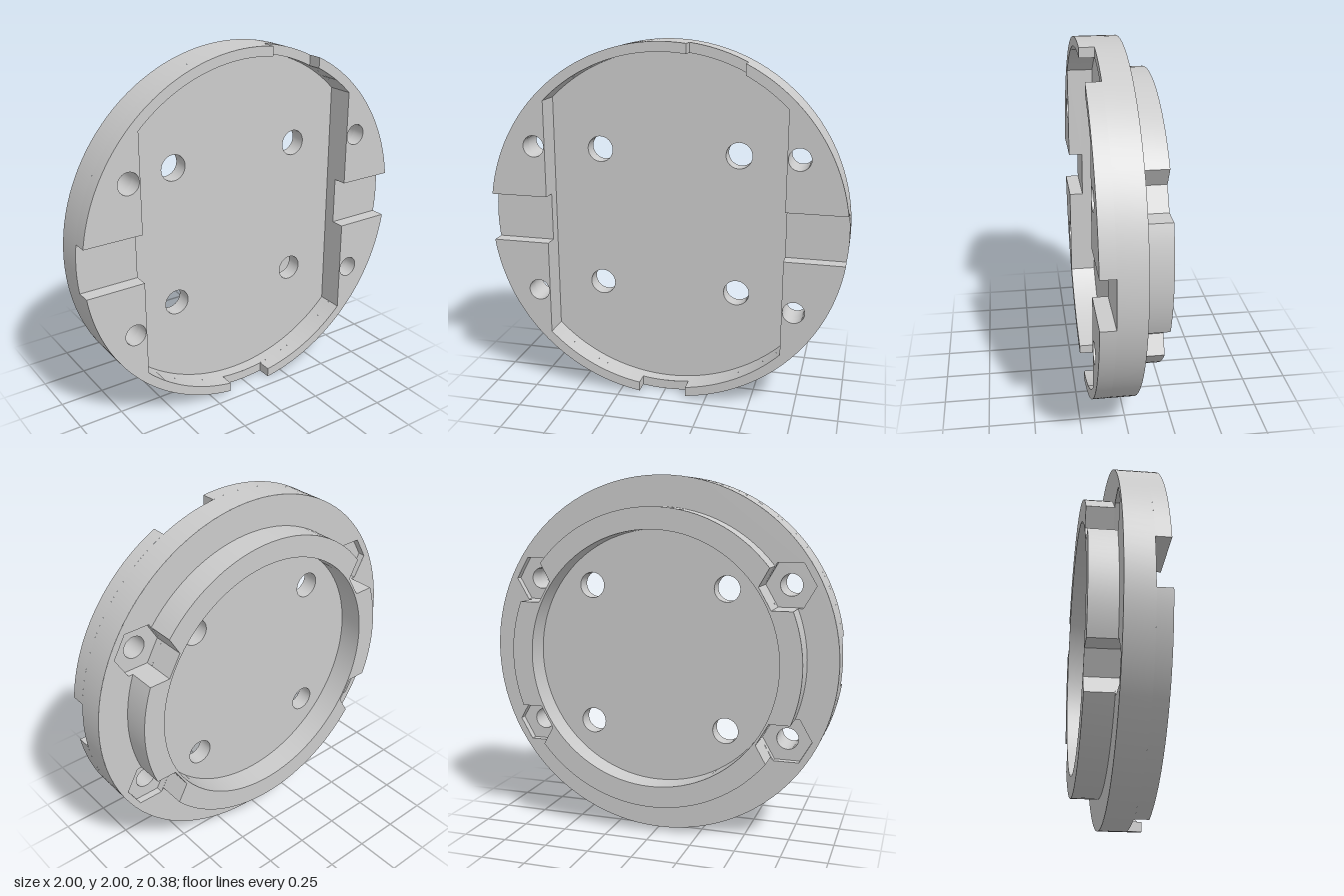
import * as THREE from 'three';
import { toCreasedNormals } from 'three/addons/utils/BufferGeometryUtils.js';

const material = new THREE.MeshStandardMaterial({ color: 0xcccccc });
const V = (x, y) => new THREE.Vector2(x, y);
const QUADRANTS = [[1, 1], [-1, 1], [-1, -1], [1, -1]];

const RIM = 1, INNER = 0.947, BOSS = 0.83, RECESS = 0.71;
const WALL = 0.665;                       // flat sides of the front cavity
const SLOT = 0.135;                       // half height of the side slots
const SCREW = { x: 0.73, y: 0.42, r: 0.06 };
// depths from back to front
const Z = { boss: -0.19, recess: -0.05, flange: -0.04, pocket: 0, cavity: 0.04, notch: 0.11, front: 0.19 };

// points along an arc about (cx, cy), both ends included
function arc(r, a, b, n = 48, cx = 0, cy = 0) {
  return Array.from({ length: n + 1 }, (_, i) => {
    const t = a + (b - a) * i / n;
    return V(cx + r * Math.cos(t), cy + r * Math.sin(t));
  });
}
const circle = (r, n = 96, cx = 0, cy = 0) => arc(r, 0, Math.PI * 2, n, cx, cy).slice(0, -1);
const mirror = (points, sx, sy) => points.map(p => V(p.x * sx, p.y * sy));

// round or hexagonal outlines repeated in the four quadrants
const fourHoles = (x, y, r, n = 32) => QUADRANTS.map(([sx, sy]) => circle(r, n, sx * x, sy * y));

function part(name, geometry) {
  const mesh = new THREE.Mesh(geometry, material);
  mesh.name = name;
  return mesh;
}

// flat face with holes; facing 1 looks forward, -1 looks back
function face(name, outline, holes, z, facing) {
  const shape = new THREE.Shape(outline);
  holes.forEach(h => shape.holes.push(new THREE.Path(h)));
  const g = new THREE.ShapeGeometry(shape);
  g.translate(0, 1, z);
  if (facing < 0) {
    g.index.array.reverse();
    g.computeVertexNormals();
  }
  return part(name, g);
}

// wall along a closed outline; side 1 looks outward, -1 looks inward
function wall(name, outline, z0, z1, side) {
  const points = THREE.ShapeUtils.area(outline) * side > 0 ? outline : [...outline].reverse();
  const pos = [];
  points.forEach((p, i) => {
    const q = points[(i + 1) % points.length];
    const a = [p.x, p.y + 1, z0], b = [q.x, q.y + 1, z0];
    const c = [q.x, q.y + 1, z1], d = [p.x, p.y + 1, z1];
    pos.push(...a, ...b, ...c, ...a, ...c, ...d);
  });
  const g = new THREE.BufferGeometry();
  g.setAttribute('position', new THREE.Float32BufferAttribute(pos, 3));
  return part(name, toCreasedNormals(g, 0.5));
}

// front cavity: a circle cut flat on both sides
function cavityOutline() {
  const a = Math.acos(WALL / INNER);
  return [...arc(INNER, a, Math.PI - a), ...arc(INNER, Math.PI + a, 2 * Math.PI - a)];
}

// boss circle following either the inner or the outer half of each nut pocket
function bossOutline(pocketCorners) {
  const quarter = [
    ...arc(BOSS, 0, Math.atan2(0.3, 0.774), 10), ...pocketCorners,
    ...arc(BOSS, Math.atan2(0.522, 0.65), Math.PI / 2, 14),
  ];
  return QUADRANTS.flatMap(([sx, sy]) => {
    const q = mirror(quarter, sx, sy);
    if (sx * sy < 0) q.reverse();
    return q.slice(0, -1);
  });
}

// raised front rim from a side slot round to a notch edge at x = end
function rimPiece(name, sx, sy, end) {
  const outline = mirror([
    ...arc(RIM, Math.asin(SLOT), Math.acos(end)),
    ...arc(INNER, Math.acos(end / INNER), Math.acos(WALL / INNER)),
    V(WALL, SLOT),
  ], sx, sy);
  const hole = circle(SCREW.r, 32, sx * SCREW.x, sy * SCREW.y);
  const group = new THREE.Group();
  group.name = name;
  group.add(face('rimFront', outline, [hole], Z.front, 1));
  group.add(wall('rimEdge', outline, Z.notch, Z.front, 1));
  return group;
}

// floor of a rim notch between two x positions
const notchOutline = (x0, x1) => [
  ...arc(RIM, Math.acos(x1), Math.acos(x0), 16),
  ...arc(INNER, Math.acos(x0 / INNER), Math.acos(x1 / INNER), 16),
];

export function createModel() {
  const model = new THREE.Group();
  model.name = 'roundMountingPlate';

  const screwHoles = fourHoles(SCREW.x, SCREW.y, SCREW.r);
  const floorHoles = fourHoles(0.392, 0.393, 0.072);
  const nutPockets = fourHoles(SCREW.x, SCREW.y, 0.139, 6);
  const boss = bossOutline([V(0.66, 0.3), V(0.591, 0.42)]);
  const bossAndPockets = bossOutline([V(0.8, 0.3), V(0.869, 0.42), V(0.8, 0.54), V(0.66, 0.54)]);

  // rear boss ring and its round recess
  model.add(face('bossBack', boss, [circle(RECESS)], Z.boss, -1));
  model.add(wall('bossSide', boss, Z.boss, Z.flange, 1));
  model.add(wall('recessWall', circle(RECESS), Z.boss, Z.recess, -1));
  model.add(face('recessFloor', circle(RECESS), floorHoles, Z.recess, -1));

  // flange with nut pockets sunk into its back
  model.add(face('flangeBack', circle(RIM), [bossAndPockets], Z.flange, -1));
  model.add(wall('flangeSide', circle(RIM, 128), Z.flange, Z.notch, 1));
  nutPockets.forEach((hex, i) => {
    model.add(wall('nutPocketWall', hex, Z.flange, Z.pocket, -1));
    model.add(face('nutPocketFloor', hex, [screwHoles[i]], Z.pocket, -1));
    model.add(wall('screwHole', screwHoles[i], Z.pocket, Z.notch, -1));
    model.add(wall('screwHoleFront', screwHoles[i], Z.notch, Z.front, -1));
    model.add(wall('floorHole', floorHoles[i], Z.recess, Z.cavity, -1));
  });

  // front cavity
  model.add(face('cavityFloor', cavityOutline(), floorHoles, Z.cavity, 1));
  model.add(wall('cavityWall', cavityOutline(), Z.cavity, Z.notch, -1));

  // raised rim, split by side slots and the top and bottom notches
  model.add(rimPiece('upperLeftRim', 1, 1, 0.44));
  model.add(rimPiece('upperRightRim', -1, 1, -0.13));
  model.add(rimPiece('lowerRightRim', -1, -1, 0.135));
  model.add(rimPiece('lowerLeftRim', 1, -1, 0.135));
  const a = Math.asin(SLOT);
  const slot = [...arc(RIM, -a, a, 12), V(WALL, SLOT), V(WALL, -SLOT)];
  model.add(face('leftSlotFloor', slot, [], Z.notch, 1));
  model.add(face('rightSlotFloor', mirror(slot, -1, 1), [], Z.notch, 1));
  model.add(face('topNotchFloor', notchOutline(0.13, 0.44), [], Z.notch, 1));
  model.add(face('bottomNotchFloor', mirror(notchOutline(-0.135, 0.135), 1, -1), [], Z.notch, 1));

  return model;
}
